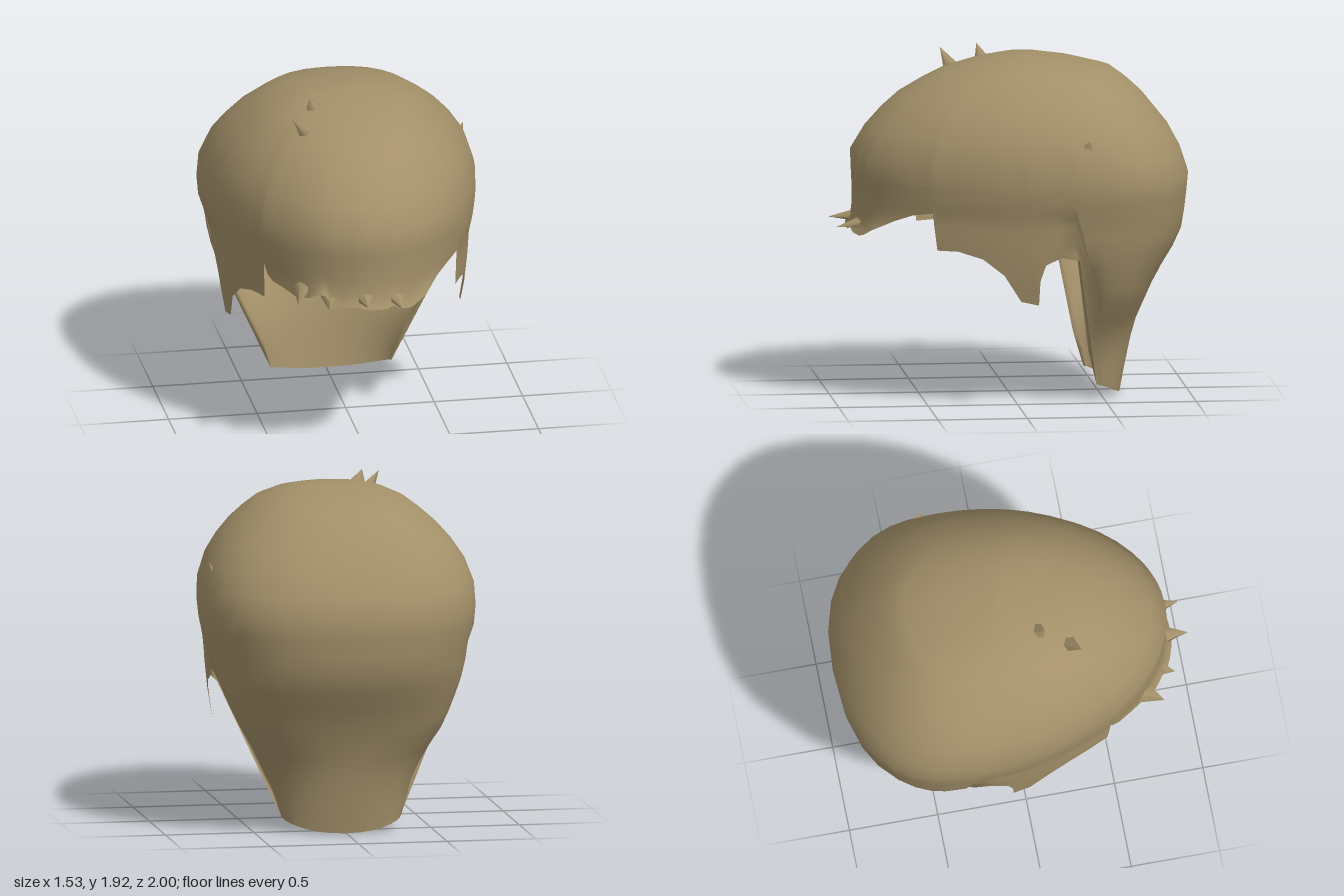
import * as THREE from 'three';

// Cross-sections: y, half width at the back, half width at the front, centre z, front z, back z
const SECTIONS = [
  [0.00, 0.33, 0.60, -0.46, 0.87, -0.62],
  [0.08, 0.34, 0.60, -0.46, 0.87, -0.635],
  [0.30, 0.41, 0.62, -0.40, 0.87, -0.68],
  [0.45, 0.49, 0.65, -0.44, 0.87, -0.72],
  [0.60, 0.58, 0.69, -0.46, 0.87, -0.78],
  [0.75, 0.645, 0.71, -0.41, 0.87, -0.86],
  [0.90, 0.70, 0.72, -0.36, 0.87, -0.955],
  [1.05, 0.72, 0.73, -0.36, 0.87, -0.98],
  [1.15, 0.755, 0.755, -0.36, 0.87, -0.99],
  [1.25, 0.765, 0.765, -0.35, 0.875, -1.0],
  [1.37, 0.76, 0.76, -0.33, 0.88, -0.96],
  [1.50, 0.715, 0.715, -0.28, 0.80, -0.89],
  [1.60, 0.65, 0.65, -0.24, 0.71, -0.81],
  [1.68, 0.58, 0.58, -0.20, 0.62, -0.745],
  [1.75, 0.50, 0.50, -0.15, 0.50, -0.67],
  [1.81, 0.42, 0.42, -0.11, 0.38, -0.59],
  [1.86, 0.31, 0.31, -0.09, 0.21, -0.40],
  [1.89, 0.19, 0.19, -0.08, 0.05, -0.22],
  [1.90, 0, 0, -0.08, -0.08, -0.08],
];

// Hem height by angle from the front, in degrees
const FRINGE_LEFT = [[0, 0.94], [6, 0.94], [9, 0.955], [12, 0.93], [17, 0.92], [20, 0.93],
  [26, 0.97], [33, 1.03], [40, 1.07], [47, 1.09]];
const FRINGE_RIGHT = [[4, 0.945], [8, 0.96], [14, 0.95], [18, 0.945], [21, 1.01], [24, 1.01],
  [28, 0.98], [33, 0.95], [38, 0.98], [44, 1.0], [46.5, 1.03], [47.5, 1.09]];
const SIDE = [[48.5, 0.88], [55, 0.88], [62, 0.84], [67, 0.75], [70, 0.6], [74.5, 0.58], [76, 0.72],
  [78.5, 0.81], [83, 0.85], [87.5, 0.83], [90, 0.08], [97, 0.075], [106, 0.065], [116, 0.052],
  [127, 0.038], [139, 0.024], [152, 0.01], [166, 0.002]];

function sectionAt(y) {
  let i = 0;
  while (i < SECTIONS.length - 2 && SECTIONS[i + 1][0] < y) i++;
  const a = SECTIONS[i], b = SECTIONS[i + 1];
  const t = (y - a[0]) / (b[0] - a[0]);
  return a.map((v, k) => v + (b[k] - v) * t);
}

// Point of the shell at an angle and height
function shellPoint(deg, y) {
  const [, wBack, wFront, zc, zFront, zBack] = sectionAt(y);
  const a = THREE.MathUtils.degToRad(deg);
  const s = Math.sin(a), c = Math.cos(a);
  const w = wBack + (wFront - wBack) * THREE.MathUtils.smoothstep(c, 0, 0.25);
  const power = c < 0 && y > 0.5 ? 2 / 2.35 : 1;
  const depth = c > 0 ? zFront - zc : zc - zBack;
  return new THREE.Vector3(
    w * Math.sign(s) * Math.abs(s) ** power, y,
    zc + depth * Math.sign(c) * Math.abs(c) ** power);
}

function shellGeometry() {
  const mirrored = (list) => list.map(([d, h]) => [-d, h]).reverse();
  const columns = [[-180, 0], ...mirrored(SIDE), ...mirrored(FRINGE_RIGHT), ...FRINGE_LEFT, ...SIDE];
  const upper = SECTIONS.map((s) => s[0]).filter((y) => y >= 1.25).reverse();
  const lowerRows = 12, rows = upper.length + lowerRows;
  const positions = [], indices = [];
  columns.forEach(([deg, hem], i) => {
    const next = (i + 1) % columns.length;
    for (let j = 0; j < rows; j++) {
      const t = Math.max(0, (j - upper.length + 1) / lowerRows);
      const p = shellPoint(deg, t > 0 ? 1.25 + (hem - 1.25) * t : upper[j]);
      // the fringe flares forward at its hem
      if (Math.abs(deg) < 30) p.z += 0.04 * t ** 6;
      positions.push(p.x, p.y, p.z);
      if (j === rows - 1) continue;
      const a = i * rows + j, b = next * rows + j;
      if (j > 0) indices.push(a, a + 1, b);
      indices.push(b, a + 1, b + 1);
    }
  });
  const g = new THREE.BufferGeometry();
  g.setAttribute('position', new THREE.Float32BufferAttribute(positions, 3));
  g.setIndex(indices);
  g.computeVertexNormals();
  return g;
}

// Flattened pointed lock running from its root to its tip
function tuft(name, root, tip, width, thickness, material) {
  const from = new THREE.Vector3(...root), to = new THREE.Vector3(...tip);
  const dir = to.clone().sub(from);
  const g = new THREE.ConeGeometry(1, dir.length(), 6, 1, true);
  g.scale(width, 1, thickness);
  const mesh = new THREE.Mesh(g, material);
  mesh.name = name;
  mesh.position.copy(from).add(to).multiplyScalar(0.5);
  mesh.quaternion.setFromUnitVectors(new THREE.Vector3(0, 1, 0), dir.normalize());
  return mesh;
}

export function createModel() {
  const group = new THREE.Group();
  group.name = 'hair';
  const brown = new THREE.MeshStandardMaterial({ color: 0xa39069, side: THREE.DoubleSide });
  brown.name = 'hairBrown';

  const shell = new THREE.Mesh(shellGeometry(), brown);
  shell.name = 'hairShell';
  group.add(shell);

  // Fringe tips
  [
    [[-0.04, 1.0, 0.82], [-0.05, 0.99, 1.0], 0.07, 0.04],
    [[0.13, 0.99, 0.82], [0.15, 0.96, 0.98], 0.06, 0.035],
    [[-0.22, 1.0, 0.76], [-0.25, 0.95, 0.89], 0.07, 0.04],
    [[-0.36, 1.02, 0.68], [-0.41, 0.96, 0.8], 0.07, 0.04],
  ].forEach((t) => group.add(tuft('fringeTip', ...t, brown)));

  // Loose locks on the crown and the left side
  [
    [[-0.27, 1.77, 0.28], [-0.36, 1.885, 0.34], 0.05, 0.05],
    [[-0.19, 1.82, 0.12], [-0.23, 1.925, 0.15], 0.07, 0.05],
    [[0.68, 1.38, -0.36], [0.73, 1.51, -0.38], 0.04, 0.12],
  ].forEach((t) => group.add(tuft('looseLock', ...t, brown)));

  return group;
}
